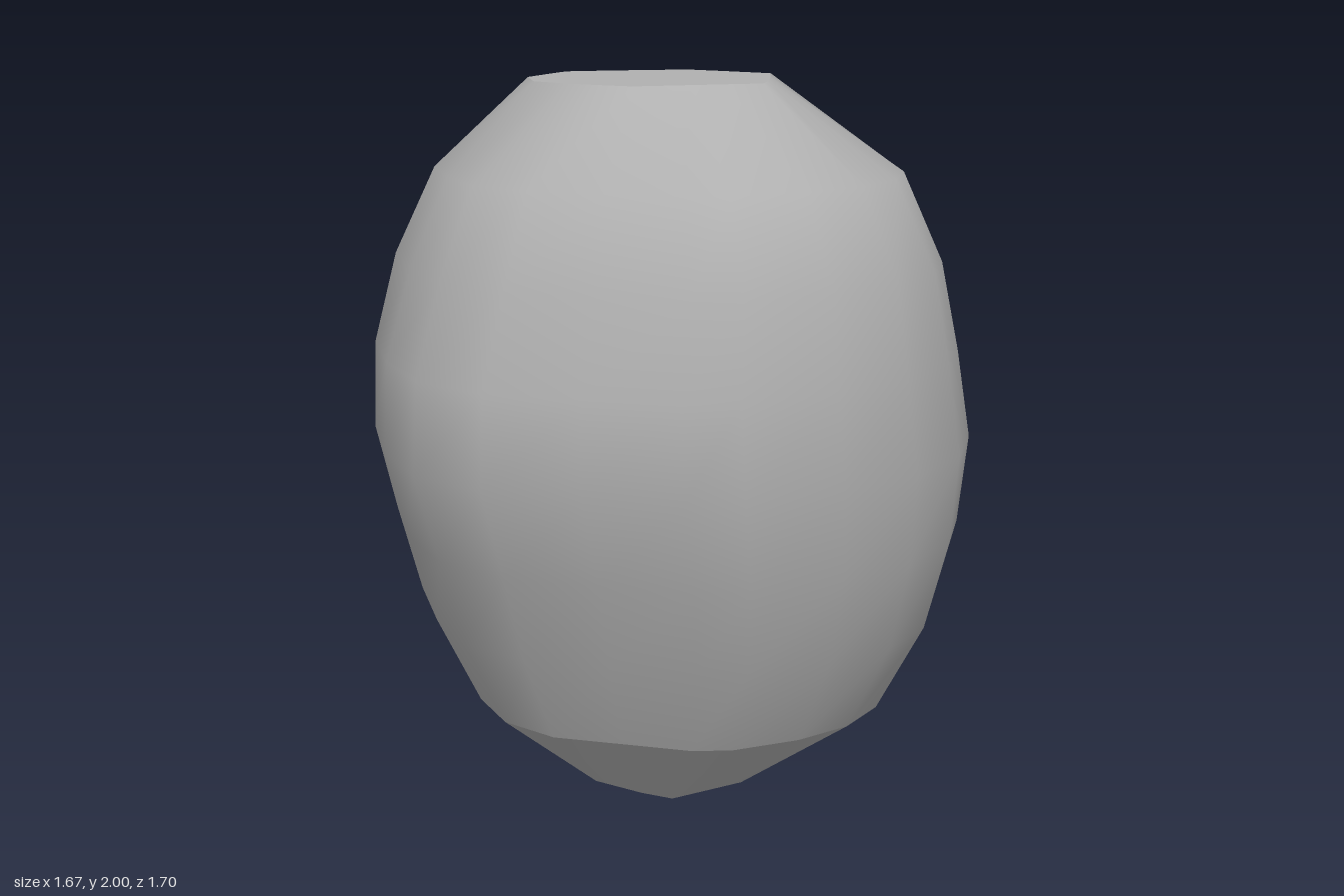
import * as THREE from 'three';

// Widest outline seen from above, as [x, z]
const outline = [
  [0.835, 0.1], [0.773, 0.25], [0.64, 0.57], [0.51, 0.69], [0.28, 0.81], [0.02, 0.85],
  [-0.23, 0.8], [-0.49, 0.68], [-0.6, 0.57], [-0.72, 0.33], [-0.84, 0.09], [-0.84, -0.16],
  [-0.71, -0.41], [-0.49, -0.69], [-0.23, -0.81], [0.02, -0.85], [0.28, -0.81],
  [0.52, -0.63], [0.7, -0.41], [0.8, -0.17],
];
// Small flat facets at the two ends
const topFacet = [[0.33, 0.11], [0.02, 0.34], [-0.31, 0.13], [-0.35, -0.17], [-0.22, -0.32], [0.02, -0.39], [0.3, -0.17]];
const bottomFacet = [[0.23, 0.07], [0.02, 0.28], [-0.23, 0.2], [-0.26, -0.08], [-0.1, -0.24], [0.15, -0.22]];

// Ring inside given x and z limits, following the outline
function ring(y, x0, x1, z0, z1) {
  return outline.map(([x, z]) => new THREE.Vector3(
    x0 + (x1 - x0) * (x + 0.84) / 1.675, y, z0 + (z1 - z0) * (z + 0.85) / 1.7));
}

// Ring on the edge of a facet, one point in the direction of each outline point
function facetRing(y, poly) {
  return outline.map(([dx, dz]) => {
    let r = Infinity;
    poly.forEach(([ax, az], i) => {
      const [bx, bz] = poly[(i + 1) % poly.length];
      const nx = bz - az, nz = ax - bx;
      const along = dx * nx + dz * nz;
      if (along > 0) r = Math.min(r, (ax * nx + az * nz) / along);
    });
    return new THREE.Vector3(dx * r, y, dz * r);
  });
}

function surface(points, index) {
  const g = new THREE.BufferGeometry().setFromPoints(points);
  g.setIndex(index);
  g.computeVertexNormals();
  return g;
}

// Smooth skin through rings, listed from bottom to top
function loft(rings) {
  const n = outline.length, index = [];
  for (let k = 0; k < rings.length - 1; k++) {
    for (let i = 0; i < n; i++) {
      const a = k * n + i, b = k * n + (i + 1) % n;
      index.push(a, a + n, b, b, a + n, b + n);
    }
  }
  return surface(rings.flat(), index);
}

// Flat end
function cap(points, up) {
  const n = points.length, index = [];
  for (let i = 0; i < n; i++) {
    const j = (i + 1) % n;
    index.push(n, up ? j : i, up ? i : j);
  }
  return surface([...points, new THREE.Vector3(0, points[0].y, 0)], index);
}

export function createModel() {
  const group = new THREE.Group();
  const stone = new THREE.MeshStandardMaterial({ color: 0xb0b0b0 });
  stone.name = 'stone grey';

  const bottom = facetRing(0, bottomFacet);
  const shoulder = ring(0.25, -0.56, 0.59, -0.62, 0.63);
  const top = facetRing(2, topFacet);

  const add = (name, geometry) => {
    const mesh = new THREE.Mesh(geometry, stone);
    mesh.name = name;
    group.add(mesh);
  };
  add('bottomFace', cap(bottom, false));
  add('lowerTaper', loft([bottom, shoulder]));
  add('body', loft([
    shoulder,
    ring(0.5, -0.68, 0.72, -0.76, 0.76),
    ring(0.75, -0.76, 0.8, -0.82, 0.82),
    ring(1, -0.84, 0.835, -0.85, 0.85),
    ring(1.25, -0.82, 0.785, -0.84, 0.825),
    ring(1.5, -0.73, 0.72, -0.8, 0.78),
    ring(1.75, -0.64, 0.61, -0.66, 0.67),
    top,
  ]));
  add('topFace', cap(top, true));
  return group;
}
